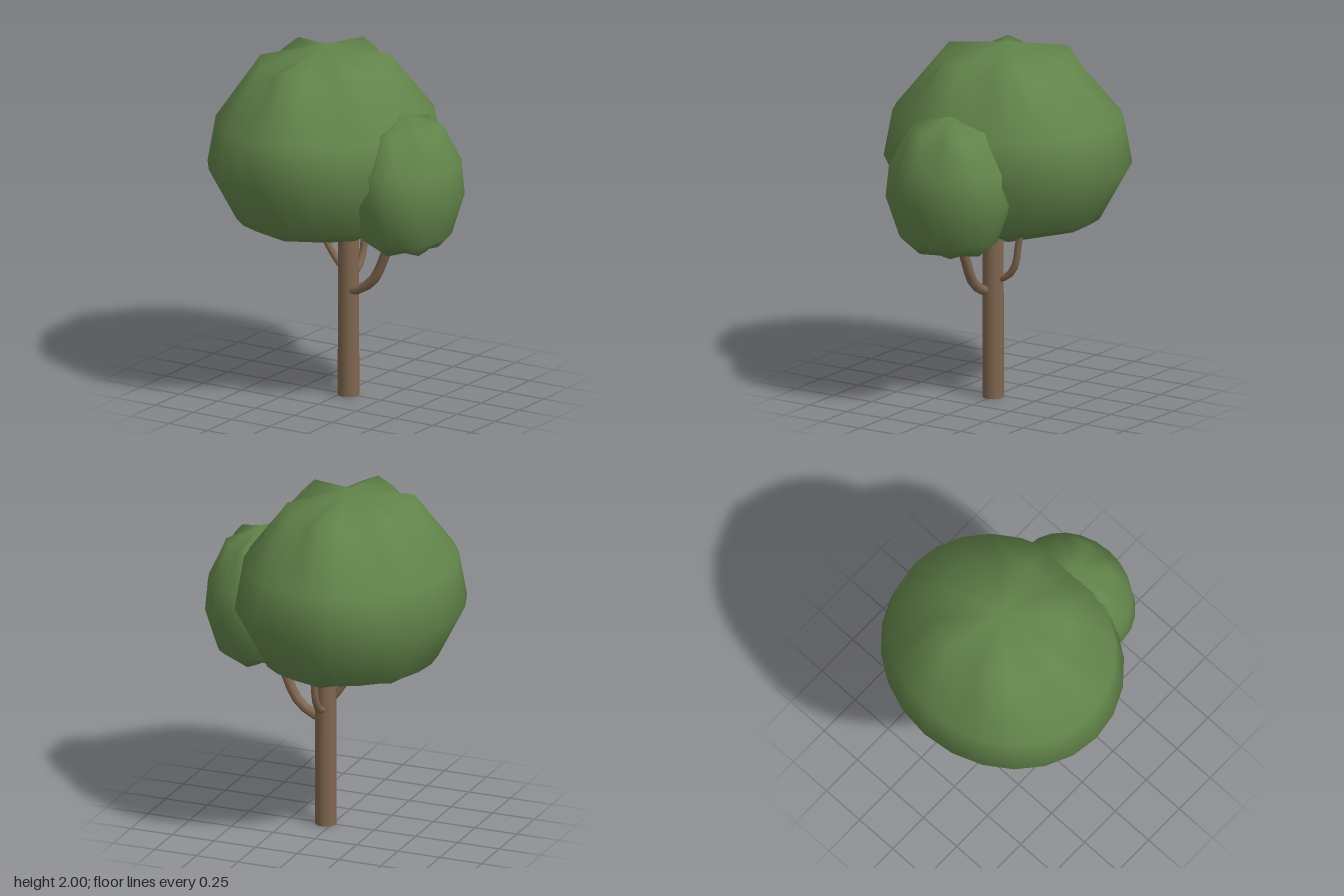
import * as THREE from 'three';
import { mergeVertices } from 'three/addons/utils/BufferGeometryUtils.js';

const bark = new THREE.MeshStandardMaterial({ color: 0x7f664f });
bark.name = 'bark brown';
const leaf = new THREE.MeshStandardMaterial({ color: 0x62844a });
leaf.name = 'leaf green';

function add(parent, name, geometry, material) {
  const mesh = new THREE.Mesh(geometry, material);
  mesh.name = name;
  parent.add(mesh);
  return mesh;
}

// Rounded leaf mass from [radius, height] rings, with six soft folds at top and bottom
function crownGeometry(profile, scaleX, fold) {
  const lathe = new THREE.LatheGeometry(profile.map(([r, y]) => new THREE.Vector2(r, y)), 24);
  const p = lathe.attributes.position;
  const rings = profile.length;
  for (let i = 0; i < p.count; i++) {
    const ring = i % rings;
    const dip = fold * (1 - Math.cos(6 * Math.atan2(p.getX(i), p.getZ(i)))) / 2;
    if (ring === rings - 2) p.setY(i, p.getY(i) - dip);
    if (ring === 1) p.setY(i, p.getY(i) + dip * 0.6);
    p.setX(i, p.getX(i) * scaleX);
  }
  lathe.deleteAttribute('uv');
  lathe.deleteAttribute('normal');
  const geometry = mergeVertices(lathe, 1e-4);
  geometry.computeVertexNormals();
  return geometry;
}

// Curved branch along a few points
function branchGeometry(points, radius) {
  const curve = new THREE.CatmullRomCurve3(points.map((q) => new THREE.Vector3(...q)));
  return new THREE.TubeGeometry(curve, 8, radius, 10);
}

export function createModel() {
  const tree = new THREE.Group();
  tree.name = 'tree';

  // Trunk
  add(tree, 'trunk', new THREE.CylinderGeometry(0.058, 0.06, 1.05, 20), bark)
    .position.set(0.04, 0.525, 0);

  // Branches
  add(tree, 'sideBranch', branchGeometry(
    [[0.05, 0.61, 0.02], [0.13, 0.63, 0.02], [0.22, 0.7, 0.02], [0.28, 0.82, 0.02], [0.35, 1.0, 0.03]], 0.028), bark);
  add(tree, 'backBranch', branchGeometry(
    [[0.04, 0.68, -0.02], [0.04, 0.7, -0.09], [0.04, 0.77, -0.145], [0.04, 0.88, -0.165], [0.04, 1.02, -0.19]], 0.02), bark);
  add(tree, 'smallBranch', branchGeometry(
    [[0.03, 0.71, 0.01], [-0.02, 0.77, 0.02], [-0.07, 0.85, 0.03], [-0.13, 0.97, 0.04]], 0.02), bark);

  // Leaf masses
  add(tree, 'mainCrown', crownGeometry(
    [[0, 0.85], [0.43, 0.97], [0.54, 1.03], [0.71, 1.33], [0.66, 1.59], [0.39, 1.94], [0, 2]], 0.89, 0.08), leaf)
    .position.set(-0.11, 0, 0);
  add(tree, 'sideCrown', crownGeometry(
    [[0, 0.89], [0.2, 0.92], [0.29, 1.0], [0.37, 1.22], [0.35, 1.4], [0.23, 1.63], [0, 1.69]], 0.81, 0.05), leaf)
    .position.set(0.44, 0, 0.03);

  return tree;
}
